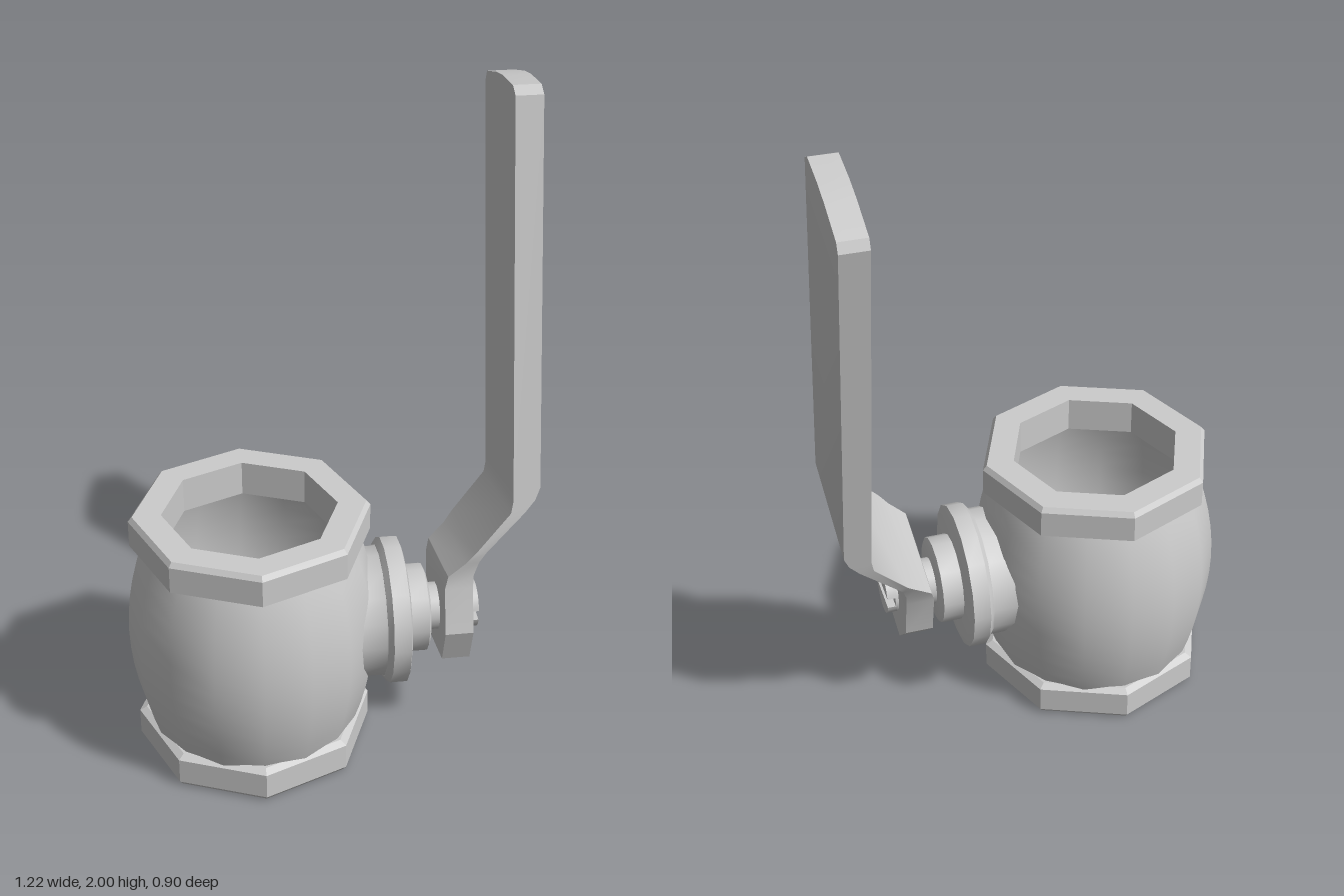
import * as THREE from 'three';
import { toCreasedNormals } from 'three/addons/utils/BufferGeometryUtils.js';

const CX = -0.24, CZ = 0.075, AXIS_Y = 0.41;

const material = (options = {}) => new THREE.MeshStandardMaterial({ color: 0xcccccc, ...options });

function addMesh(parent, name, geometry, options) {
  const mesh = new THREE.Mesh(geometry, material(options));
  mesh.name = name;
  parent.add(mesh);
  return mesh;
}

// Revolved profile of [radius, height] pairs
function lathe(points, segments) {
  const geometry = new THREE.LatheGeometry(points.map(([r, y]) => new THREE.Vector2(r, y)), segments);
  return toCreasedNormals(geometry, 0.6);
}

// Bent plate: each row is [height, inner x, height offset to outer x, outer x, right z, left z]
function plateGeometry(rows) {
  const positions = [], indices = [];
  for (const [t, xIn, xOut, right, left] of rows) {
    positions.push(xIn, t, left, xOut, t, left, xOut, t, right, xIn, t, right);
  }
  for (let i = 0; i < rows.length - 1; i++) {
    for (let k = 0; k < 4; k++) {
      const a = i * 4 + k, b = i * 4 + (k + 1) % 4;
      indices.push(a, b, b + 4, a, b + 4, a + 4);
    }
  }
  const n = (rows.length - 1) * 4;
  indices.push(0, 3, 2, 0, 2, 1, n, n + 1, n + 2, n, n + 2, n + 3);
  const geometry = new THREE.BufferGeometry();
  geometry.setAttribute('position', new THREE.Float32BufferAttribute(positions, 3));
  geometry.setIndex(indices);
  return toCreasedNormals(geometry, 0.55);
}

export function createModel() {
  const model = new THREE.Group();
  model.name = 'ballValve';

  // Hollow barrel body
  const body = new THREE.Group();
  body.name = 'body';
  body.position.set(CX, 0, CZ);
  model.add(body);
  const barrel = [];
  for (let i = 0; i <= 10; i++) {
    const s = i / 5 - 1;
    barrel.push([0.374 - 0.054 * s * s, 0.405 + 0.31 * s]);
  }
  addMesh(body, 'barrel', lathe(barrel, 16), { side: THREE.DoubleSide });

  // Octagonal end nuts with chamfered rims and open bores
  const nut = [[0.26, 0], [0.345, 0], [0.357, 0.015], [0.357, 0.098], [0.335, 0.11], [0.26, 0.11], [0.26, 0]];
  for (const [name, y] of [['bottomNut', 0], ['topNut', 0.7]]) {
    const profile = y ? nut.map(([r, h]) => [r, 0.81 - h]).reverse() : nut;
    addMesh(body, name, lathe(profile, 8), { flatShading: true });
  }

  // Stem along +x: boss, collar, hub and shaft
  const stem = new THREE.Group();
  stem.name = 'stem';
  stem.position.set(0, AXIS_Y, CZ);
  model.add(stem);
  const stemParts = {
    boss: [[0.2, 0.06], [0.2, 0.14], [0.21, 0.16]],
    collar: [[0, 0.145], [0.205, 0.145], [0.225, 0.16], [0.225, 0.212], [0.195, 0.22], [0, 0.22]],
    hub: [[0, 0.215], [0.135, 0.215], [0.135, 0.283], [0.12, 0.29], [0, 0.29]],
    shaft: [[0, 0.28], [0.073, 0.28], [0.073, 0.42], [0, 0.42]],
  };
  for (const [name, profile] of Object.entries(stemParts)) {
    const options = name === 'boss' ? { side: THREE.DoubleSide } : {};
    addMesh(stem, name, lathe(profile, 16), options).rotation.z = -Math.PI / 2;
  }

  // Slotted shaft end: two circle segments either side of a horizontal slot
  const r = 0.073, a = Math.asin(0.016 / r);
  const segment = new THREE.Shape().absarc(0, 0, r, a, Math.PI - a, false);
  for (const [name, turn] of [['upperSlotHalf', 0], ['lowerSlotHalf', Math.PI]]) {
    const half = new THREE.ExtrudeGeometry(segment, { depth: 0.03, bevelEnabled: false, curveSegments: 8 });
    half.rotateZ(turn);
    half.rotateY(Math.PI / 2);
    half.translate(0.415, 0, 0);
    addMesh(stem, name, toCreasedNormals(half, 0.6));
  }

  // Cranked lever, tilted back; rows are [height, inner x, outer x, right z, left z]
  const lever = addMesh(stem, 'lever', plateGeometry([
    [-0.137, 0.325, 0.41, -0.085, 0.095],
    [-0.03, 0.325, 0.41, -0.158, 0.158],
    [0.115, 0.325, 0.41, -0.16, 0.152],
    [0.155, 0.335, 0.412, -0.168, 0.154],
    [0.2, 0.386, 0.425, -0.178, 0.168],
    [0.233, 0.414, 0.445, -0.19, 0.178],
    [0.353, 0.518, 0.56, -0.198, 0.182],
    [0.39, 0.525, 0.59, -0.198, 0.182],
    [0.428, 0.525, 0.605, -0.198, 0.182],
    [1.567, 0.525, 0.605, -0.198, 0.182],
    [1.592, 0.525, 0.605, -0.18, 0.15],
    [1.604, 0.525, 0.605, -0.05, 0.03],
  ]));
  lever.rotation.x = -0.213;

  return model;
}
